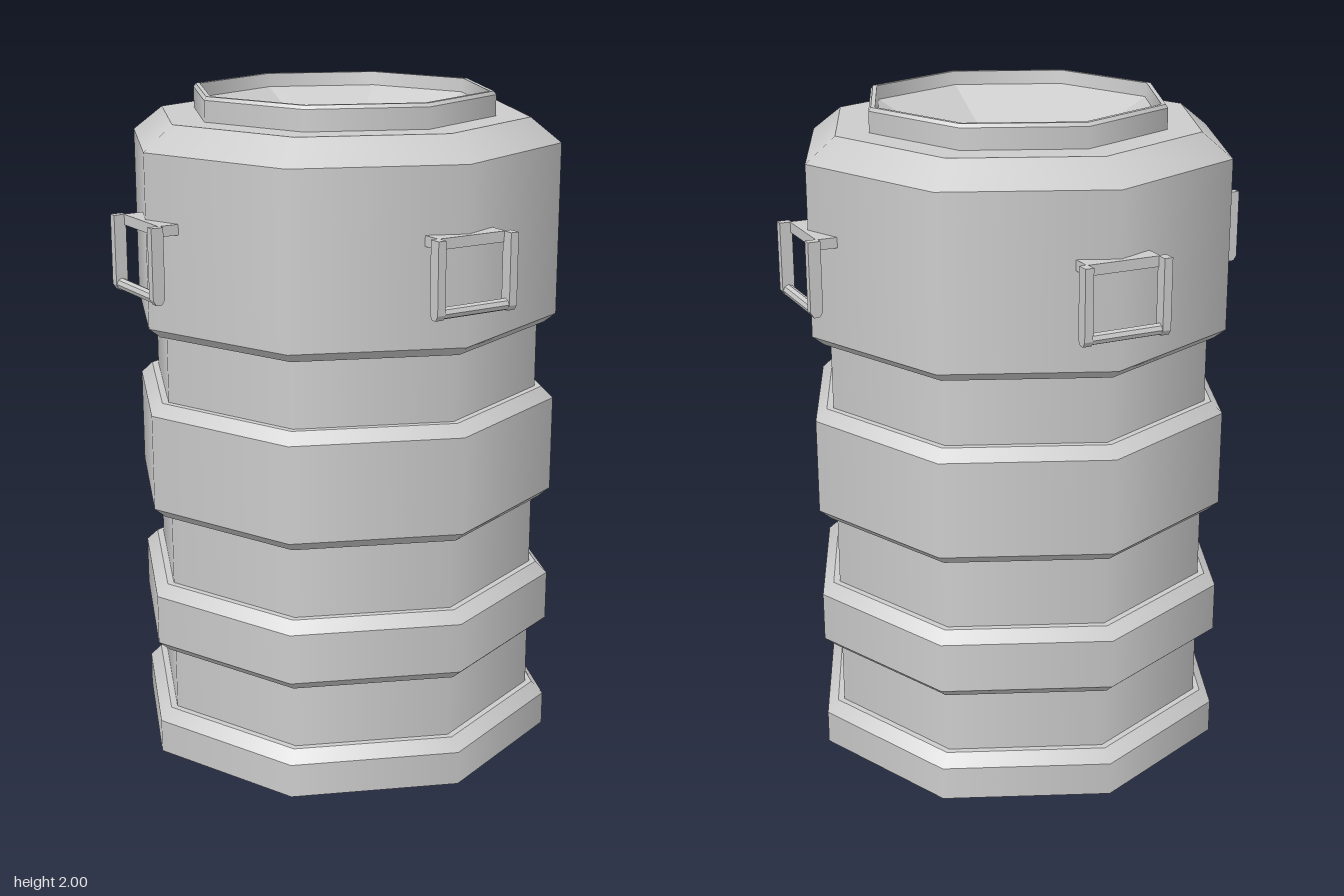
import * as THREE from 'three';
import { mergeGeometries } from 'three/addons/utils/BufferGeometryUtils.js';

const SIDES = 8;
const smooth = new THREE.MeshStandardMaterial({ color: 0xcccccc });
const faceted = new THREE.MeshStandardMaterial({ color: 0xcccccc, flatShading: true });

// Eight-sided turned shell: smooth around, sharp at each bend of the [radius, y] profile
function turned(name, profile, material) {
  const p = profile.map(([r, y]) => new THREE.Vector2(r, y));
  const bands = [];
  for (let i = 0; i < p.length - 1; i++) bands.push(new THREE.LatheGeometry([p[i], p[i + 1]], SIDES));
  const mesh = new THREE.Mesh(mergeGeometries(bands), material);
  mesh.name = name;
  return mesh;
}

function box(name, w, h, d, x, y, z) {
  const mesh = new THREE.Mesh(new THREE.BoxGeometry(w, h, d), faceted);
  mesh.name = name;
  mesh.position.set(x, y, z);
  return mesh;
}

// Square staple handle hanging from a short bracket on one corner of the barrel
function makeHandle() {
  const handle = new THREE.Group();
  handle.name = 'handle';
  handle.add(box('handleBracket', 0.22, 0.03, 0.07, 0, 1.66, 0.62));

  // Side posts with a tapered lower end, drawn as (z, y)
  const side = new THREE.Shape([
    [0.65, 1.475], [0.66, 1.46], [0.676, 1.46], [0.686, 1.475], [0.686, 1.675], [0.65, 1.675],
  ].map(([z, y]) => new THREE.Vector2(z, y)));
  for (const s of [-1, 1]) {
    const geo = new THREE.ExtrudeGeometry(side, { depth: 0.025, bevelEnabled: false });
    geo.translate(0, 0, -0.0125).rotateY(-Math.PI / 2);
    const post = new THREE.Mesh(geo, faceted);
    post.name = 'handlePost';
    post.position.x = s * 0.1175;
    handle.add(post);
  }

  // Grip bar across the bottom
  const bar = new THREE.Mesh(new THREE.CylinderGeometry(0.0165, 0.0165, 0.22, 8), faceted);
  bar.name = 'handleGrip';
  bar.rotation.z = Math.PI / 2;
  bar.position.set(0, 1.477, 0.668);
  handle.add(bar);
  return handle;
}

export function createModel() {
  const model = new THREE.Group();
  model.name = 'barrel';

  // Body: base, ribs separated by recessed necks, shoulder and rim
  const R = 0.64, LIP = 0.605, NECK = 0.585;
  const body = [[0, 0], [0.54, 0], [NECK, 0.05], [R, 0.05], [R, 0.15], [LIP, 0.185], [NECK, 0.185]];
  for (const [bottom, top] of [[0.375, 0.585], [0.795, 1.14]]) {
    body.push([NECK, bottom], [LIP, bottom], [R, bottom + 0.03], [R, top - 0.033], [LIP, top], [NECK, top]);
  }
  body.push([NECK, 1.335], [LIP, 1.335], [R, 1.363], [R, 1.86], [0.55, 1.93]);
  body.push([0.45, 1.93], [0.45, 1.99], [0.443, 2], [0.43, 2], [0.425, 1.96]);
  model.add(turned('body', body, smooth));

  // Dished lid inside the rim
  model.add(turned('lidDish', [[0.425, 1.96], [0.21, 1.84], [0, 1.84]], faceted));

  // Four handles, one per axis
  for (let i = 0; i < 4; i++) {
    const handle = makeHandle();
    handle.rotation.y = i * Math.PI / 2;
    model.add(handle);
  }
  return model;
}
